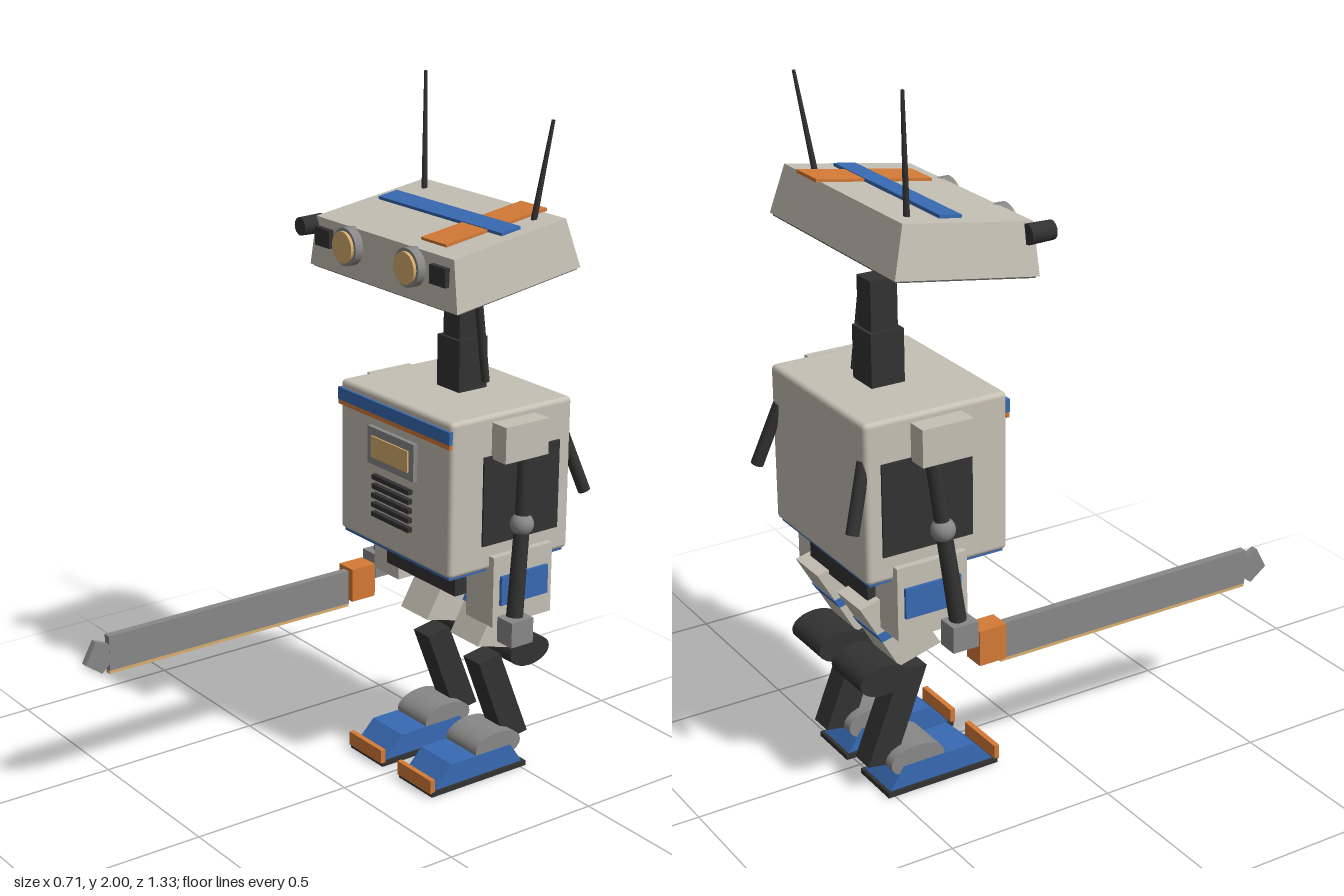
import * as THREE from 'three';
import { RoundedBoxGeometry } from 'three/addons/geometries/RoundedBoxGeometry.js';

const paint = (name, color) => {
  const m = new THREE.MeshStandardMaterial({ color });
  m.name = name;
  return m;
};

export function createModel() {
  const cream = paint('cream', 0xc6c0b5), dark = paint('charcoal', 0x323232);
  const gray = paint('gray', 0x888888), blue = paint('blue', 0x386ab3);
  const orange = paint('orange', 0xd47a36), amber = paint('amber', 0xd9ae6e);
  const under = paint('undersideGray', 0x5c5b57);
  const model = new THREE.Group();
  model.name = 'robot';

  const add = (name, geo, mat, parent = model) => {
    const m = new THREE.Mesh(geo, mat);
    m.name = name;
    parent.add(m);
    return m;
  };
  // box given by its extents
  const box = (name, mat, x0, x1, y0, y1, z0, z1, parent) => {
    const g = new THREE.BoxGeometry(x1 - x0, y1 - y0, z1 - z0);
    g.translate((x0 + x1) / 2, (y0 + y1) / 2, (z0 + z1) / 2);
    return add(name, g, mat, parent);
  };
  // round rod between two points
  const rod = (name, mat, a, b, r0, r1, parent, sides = 12) => {
    const p = new THREE.Vector3(...a), q = new THREE.Vector3(...b);
    const d = q.clone().sub(p);
    const m = add(name, new THREE.CylinderGeometry(r1, r0, d.length(), sides), mat, parent);
    m.position.copy(p).add(q).multiplyScalar(0.5);
    m.quaternion.setFromUnitVectors(new THREE.Vector3(0, 1, 0), d.normalize());
    return m;
  };
  // side outline of [z, y] points, extruded from x0 to x1
  const slab = (name, mat, pts, x0, x1, parent) => {
    const s = new THREE.Shape(pts.map(([z, y]) => new THREE.Vector2(-z, y)));
    const g = new THREE.ExtrudeGeometry(s, { depth: x1 - x0, bevelEnabled: false });
    g.rotateY(Math.PI / 2).translate(x0, 0, 0);
    return add(name, g, mat, parent);
  };
  // oval roller lying along x
  const roller = (name, mat, x0, x1, y, z, ry, rz, parent) => {
    const g = new THREE.CylinderGeometry(1, 1, x1 - x0, 24);
    g.rotateZ(Math.PI / 2).scale(1, ry, rz).translate((x0 + x1) / 2, y, z);
    return add(name, g, mat, parent);
  };

  // torso
  const torso = add('torso', new RoundedBoxGeometry(0.515, 0.455, 0.43, 2, 0.014), cream);
  torso.position.set(0, 0.922, -0.386);
  box('torsoUnderside', blue, -0.245, 0.245, 0.687, 0.696, -0.59, -0.18);
  box('chestBlueStripe', blue, -0.257, 0.257, 1.09, 1.127, -0.175, -0.163);
  box('chestOrangeStripe', orange, -0.257, 0.257, 1.076, 1.09, -0.175, -0.165);
  box('displayFrame', gray, -0.107, 0.107, 0.942, 1.052, -0.175, -0.157);
  box('display', amber, -0.085, 0.085, 0.965, 1.028, -0.16, -0.152);
  for (let i = 0; i < 5; i++) {
    const y = 0.904 - i * 0.028;
    box('ventSlat', dark, -0.086, 0.086, y - 0.007, y + 0.007, -0.175, -0.156);
  }

  // neck with cable
  box('neckBase', dark, -0.05, 0.05, 1.14, 1.3, -0.46, -0.36);
  box('neckTop', dark, -0.036, 0.036, 1.3, 1.44, -0.45, -0.37);
  rod('neckCable', dark, [0.057, 1.17, -0.45], [0.055, 1.42, -0.42], 0.012, 0.012);

  // head: a box with its corners moved to a tilted, tapered shape
  const head = new THREE.Group();
  head.name = 'head';
  model.add(head);
  const hg = new THREE.BoxGeometry(2, 2, 2);
  const hp = hg.attributes.position;
  for (let i = 0; i < hp.count; i++) {
    const top = hp.getY(i) > 0, front = hp.getZ(i) > 0;
    const [w, y, z] = top
      ? (front ? [0.31, 1.622, -0.127] : [0.31, 1.68, -0.508])
      : (front ? [0.333, 1.48, -0.122] : [0.333, 1.545, -0.545]);
    hp.setXYZ(i, hp.getX(i) * w, y, z);
  }
  hg.computeVertexNormals();
  add('headShell', hg, cream, head);
  const plate = (name, mat, w, len, x, y, z, tilt) => {
    const m = add(name, new THREE.BoxGeometry(w, 0.009, len), mat, head);
    m.position.set(x, y, z);
    m.rotation.x = tilt;
  };
  plate('headUnderside', under, 0.65, 0.415, 0, 1.511, -0.334, 0.153);
  plate('headOrangeStripe', orange, 0.108, 0.35, 0.162, 1.659, -0.348, 0.151);
  plate('headBlueStripe', blue, 0.545, 0.066, 0.002, 1.661, -0.347, 0.151);
  for (const s of [-1, 1]) {
    rod('eyeRing', gray, [s * 0.14, 1.57, -0.14], [s * 0.14, 1.57, -0.1], 0.054, 0.054, head, 28);
    rod('eyeLens', amber, [s * 0.14, 1.57, -0.11], [s * 0.14, 1.57, -0.091], 0.045, 0.045, head, 28);
    const x = s * 0.26;
    box('sensor', dark, x - 0.034, x + 0.034, 1.545, 1.597, -0.14, -0.11, head);
  }
  rod('sideScope', dark, [-0.324, 1.595, -0.155], [-0.324, 1.595, -0.08], 0.028, 0.026, head, 16);
  rod('antenna', dark, [-0.24, 1.66, -0.455], [-0.27, 2, -0.478], 0.009, 0.005, head, 8);
  rod('antenna', dark, [0.24, 1.66, -0.453], [0.262, 1.94, -0.495], 0.009, 0.005, head, 8);

  for (const s of [-1, 1]) {
    const side = new THREE.Group();
    side.name = s > 0 ? 'leftSide' : 'rightSide';
    model.add(side);
    // mirrored extents across x
    const mx = (a, b) => (s > 0 ? [a, b] : [-b, -a]);

    // side panel and back rod
    box('sidePanel', dark, ...mx(0.25, 0.263), 0.77, 1.032, -0.555, -0.283, side);
    rod('backRod', dark, [s * 0.232, 1.04, -0.59], [s * 0.268, 0.862, -0.648], 0.018, 0.018, side);

    // arm
    box('shoulder', cream, ...mx(0.25, 0.318), 1.023, 1.128, -0.465, -0.312, side);
    rod('upperArm', dark, [s * 0.28, 1.03, -0.415], [s * 0.297, 0.825, -0.395], 0.021, 0.021, side);
    add('elbow', new THREE.SphereGeometry(0.034, 20, 14), gray, side).position.set(s * 0.296, 0.825, -0.395);
    rod('forearm', dark, [s * 0.297, 0.825, -0.395], [s * 0.313, 0.56, -0.363], 0.022, 0.024, side);
    box('hand', gray, ...mx(0.287, 0.351), 0.485, 0.56, -0.4, -0.322, side);

    // hip
    box('hipBlock', cream, ...mx(0.16, 0.278), 0.525, 0.735, -0.525, -0.312, side);
    box('hipPlate', blue, ...mx(0.278, 0.287), 0.588, 0.675, -0.505, -0.335, side);

    // leg
    slab('thigh', cream, [[-0.34, 0.425], [-0.455, 0.625], [-0.585, 0.592], [-0.47, 0.39]],
      ...mx(0.055, 0.182), side);
    slab('thighBand', blue, [[-0.386, 0.515], [-0.4, 0.539], [-0.537, 0.503], [-0.522, 0.479]],
      ...mx(0.051, 0.186), side);
    roller('knee', dark, ...mx(0.035, 0.196), 0.368, -0.525, 0.044, 0.073, side);
    slab('shin', dark, [[-0.368, 0.352], [-0.447, 0.365], [-0.558, 0.088], [-0.475, 0.075]],
      ...mx(0.083, 0.155), side);
    roller('ankle', gray, ...mx(0.05, 0.188), 0.088, -0.42, 0.045, 0.084, side);

    // foot
    box('sole', dark, ...mx(0.04, 0.198), 0, 0.015, -0.52, -0.168, side);
    slab('foot', blue, [[-0.18, 0.015], [-0.245, 0.08], [-0.465, 0.08], [-0.51, 0.015]],
      ...mx(0.048, 0.19), side);
    box('toeGuard', orange, ...mx(0.04, 0.198), 0.012, 0.055, -0.178, -0.162, side);
  }

  // pelvis
  box('pelvis', dark, -0.16, 0.16, 0.59, 0.69, -0.55, -0.27);

  // saw held in the right hand
  const saw = new THREE.Group();
  saw.name = 'saw';
  model.add(saw);
  box('sawHousing', orange, -0.356, -0.29, 0.427, 0.53, -0.322, -0.238, saw);
  box('sawBlade', gray, -0.333, -0.31, 0.415, 0.52, -0.24, 0.588, saw);
  box('sawEdge', amber, -0.33, -0.313, 0.404, 0.416, -0.24, 0.588, saw);
  slab('sawTip', gray, [[0.588, 0.495], [0.63, 0.513], [0.664, 0.45], [0.612, 0.412], [0.582, 0.44]],
    -0.332, -0.311, saw);

  return model;
}
